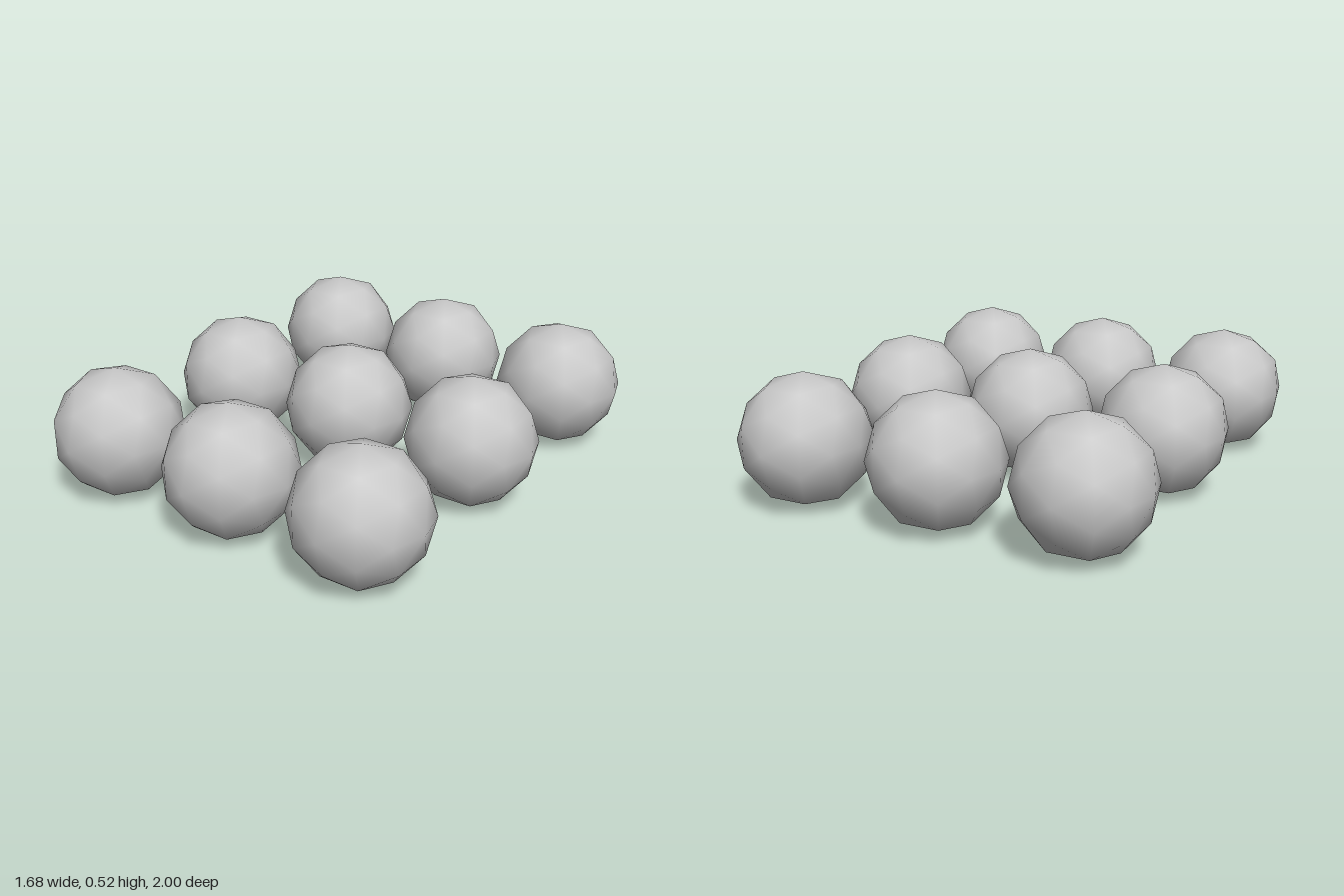
import * as THREE from 'three';

const RADIUS = 0.261;
const CENTRE_Y = 0.266;
const COLUMNS = [-0.588, -0.007, 0.575];
const ROWS = [-0.732, 0.001, 0.733];

// Slightly uneven reach of each boulder toward -x, +x, -z, +z (row by row, back to front)
const REACH = [
  [0.255, 0.256, 0.263, 0.263], [0.259, 0.263, 0.263, 0.263], [0.25, 0.267, 0.267, 0.263],
  [0.253, 0.261, 0.265, 0.263], [0.262, 0.263, 0.26, 0.261], [0.256, 0.266, 0.258, 0.263],
  [0.25, 0.266, 0.261, 0.264], [0.262, 0.265, 0.257, 0.265], [0.263, 0.26, 0.257, 0.259],
];

// Softly shaded low-poly ball whose axis vertices are pulled in or out a little
function boulderGeometry([left, right, back, front]) {
  const geometry = new THREE.IcosahedronGeometry(1, 1);
  const position = geometry.attributes.position;
  const v = new THREE.Vector3();
  for (let i = 0; i < position.count; i++) {
    v.fromBufferAttribute(position, i);
    let r = RADIUS;
    if (v.x < -0.99) r = left;
    else if (v.x > 0.99) r = right;
    else if (v.z < -0.99) r = back;
    else if (v.z > 0.99) r = front;
    v.multiplyScalar(r);
    position.setXYZ(i, v.x, v.y, v.z);
  }
  return geometry;
}

export function createModel() {
  const group = new THREE.Group();
  group.name = 'boulderGrid';
  const stone = new THREE.MeshStandardMaterial({ color: 0xc8c8c8 });
  stone.name = 'stone grey';

  // Three by three grid of separate boulders
  ROWS.forEach((z, row) => COLUMNS.forEach((x, column) => {
    const boulder = new THREE.Mesh(boulderGeometry(REACH[row * 3 + column]), stone);
    boulder.name = `boulder${row + 1}_${column + 1}`;
    boulder.position.set(x, CENTRE_Y, z);
    group.add(boulder);
  }));
  return group;
}
